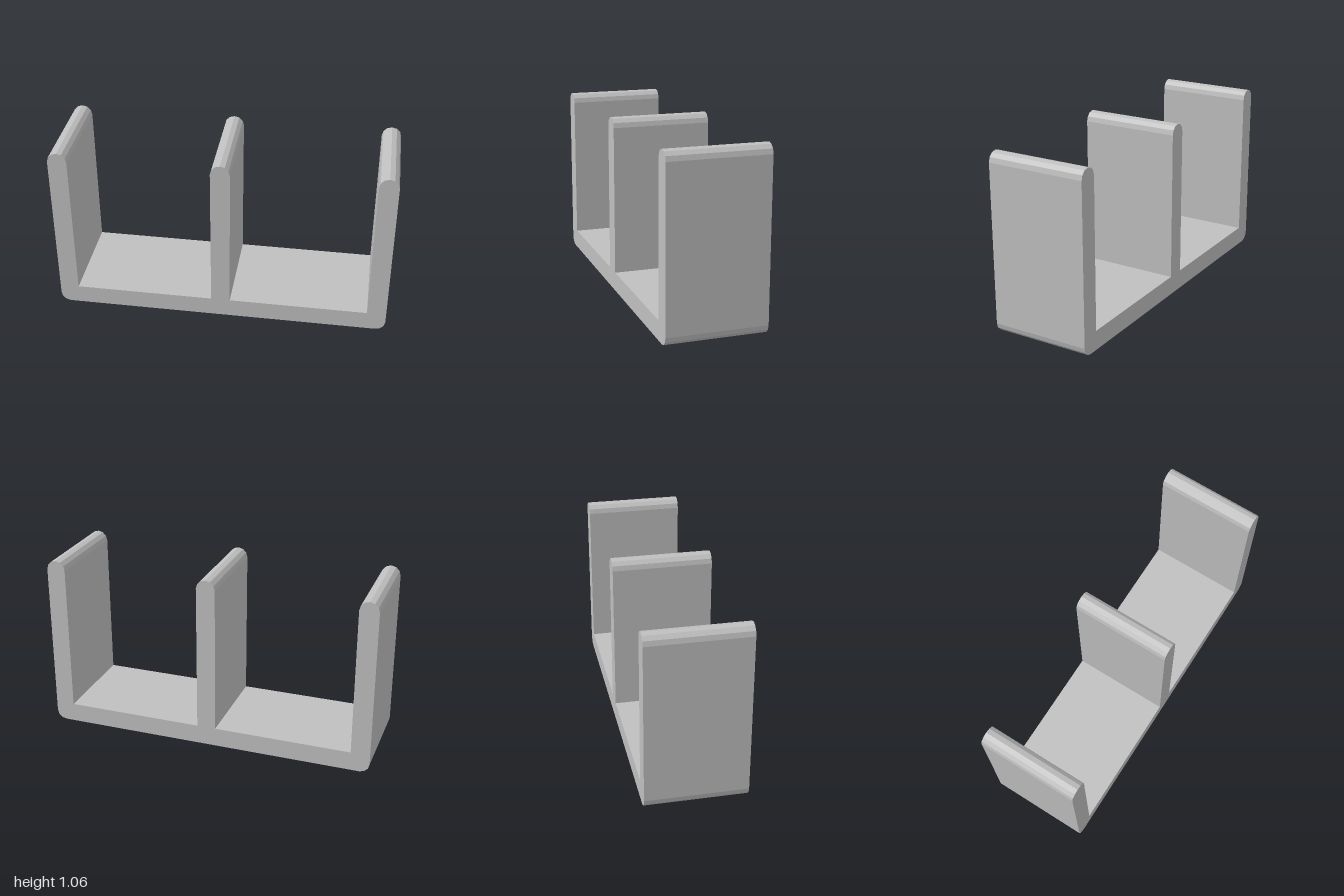
import * as THREE from 'three';

const R = 0.057;        // half of the wall thickness, also the rounding radius
const TOP = 1.06;       // height of the walls
const FLOOR = 0.115;    // upper face of the base
const DEPTH = 0.59;

// Points along an arc in 30 degree facets
function arc(cx, cy, fromDeg, toDeg) {
  const points = [];
  for (let a = fromDeg; a <= toDeg; a += 30) {
    const t = THREE.MathUtils.degToRad(a);
    points.push(new THREE.Vector2(cx + R * Math.cos(t), cy + R * Math.sin(t)));
  }
  return points;
}

export function createModel() {
  const group = new THREE.Group();
  group.name = 'twoSlotHolder';
  const grey = new THREE.MeshStandardMaterial({ color: 0xbfbfbf });
  grey.name = 'grey';

  // Outline, counter-clockwise: rounded bottom corners, then walls from right to left
  const outline = [...arc(-1 + R, R, 180, 270), ...arc(1 - R, R, 270, 360)];
  const wallCentres = [1 - R, 0, -1 + R];
  wallCentres.forEach((x, i) => {
    if (i > 0) outline.push(new THREE.Vector2(x + R, FLOOR));
    outline.push(...arc(x, TOP - R, 0, 180));
    if (i < 2) outline.push(new THREE.Vector2(x - R, FLOOR));
  });

  // Base and three upright walls in one extrusion
  const geometry = new THREE.ExtrudeGeometry(new THREE.Shape(outline), {
    depth: DEPTH,
    bevelEnabled: false,
  });
  geometry.translate(0, 0, -DEPTH / 2);
  const body = new THREE.Mesh(geometry, grey);
  body.name = 'baseAndWalls';
  group.add(body);

  return group;
}
